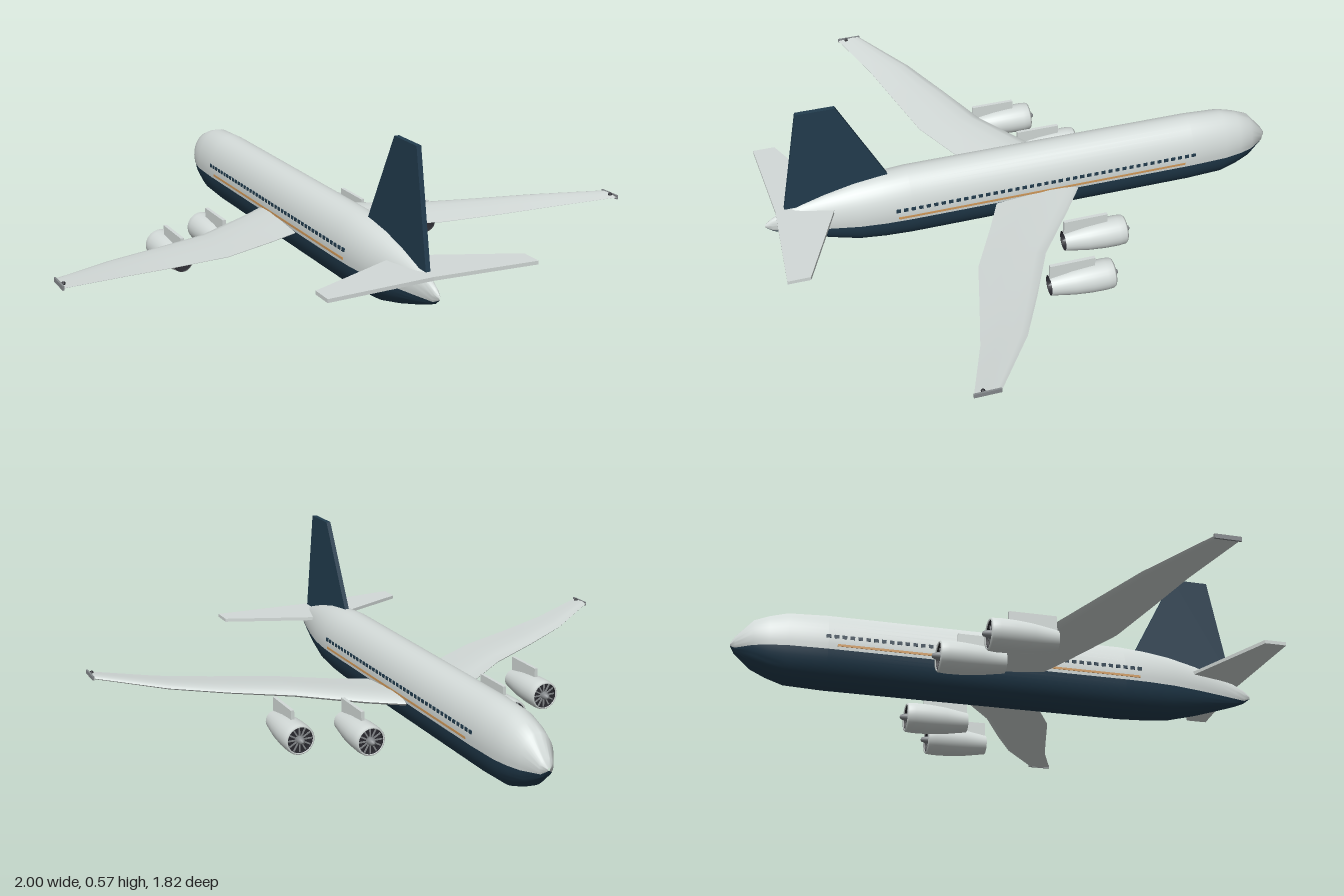
import * as THREE from 'three';
import { toCreasedNormals } from 'three/addons/utils/BufferGeometryUtils.js';

const material = (name, color, side = THREE.FrontSide) => {
  const m = new THREE.MeshStandardMaterial({ color, side });
  m.name = name;
  return m;
};

// Skin through rings of [x, y, z] points that turn anticlockwise about the direction of travel
function loft(rings, closed, crease = 0.6) {
  const n = rings[0].length, index = [];
  for (let i = 0; i < rings.length - 1; i++) {
    for (let j = 0; j < (closed ? n : n - 1); j++) {
      const k = (j + 1) % n, a = i * n + j, b = i * n + k;
      index.push(a, b, b + n, a, b + n, a + n);
    }
  }
  if (closed) {
    const last = (rings.length - 1) * n;
    for (let j = 1; j < n - 1; j++) index.push(0, j + 1, j, last, last + j, last + j + 1);
  }
  const g = new THREE.BufferGeometry();
  g.setAttribute('position', new THREE.Float32BufferAttribute(rings.flat(2), 3));
  g.setIndex(index);
  return toCreasedNormals(g, crease);
}

// Wing from stations [x, leading z, trailing z, y, thickness] and a profile of [chord, height]
function wing(stations, profile, side) {
  const rings = stations.map(([x, z0, z1, y, t]) => {
    const ring = profile.map(([u, v]) => [side * x, y + v * t, z0 + u * (z1 - z0)]);
    return side > 0 ? ring : ring.reverse();
  });
  return loft(rings, true);
}

export function createModel() {
  const plane = new THREE.Group();
  plane.name = 'airliner';
  const light = material('light grey paint', 0xd3dad8);
  const navy = material('navy paint', 0x223c4e);
  const orange = material('orange trim', 0xd09a5c);
  const dark = material('dark interior', 0x2a2a30, THREE.DoubleSide);
  const metal = material('engine metal', 0x85898c);

  const add = (name, geometry, mat, parent = plane, x = 0, y = 0, z = 0) => {
    const mesh = new THREE.Mesh(geometry, mat);
    mesh.name = name;
    mesh.position.set(x, y, z);
    parent.add(mesh);
    return mesh;
  };

  // Fuselage stations: z, bottom y, top y, half width
  const body = [
    [-0.91, 0.135, 0.145, 0.004], [-0.895, 0.11, 0.17, 0.025], [-0.84, 0.063, 0.232, 0.06],
    [-0.79, 0.04, 0.252, 0.075], [-0.73, 0.02, 0.269, 0.085], [-0.6, 0.015, 0.275, 0.09],
    [0.42, 0.015, 0.275, 0.09], [0.51, 0.019, 0.268, 0.087], [0.6, 0.027, 0.256, 0.078],
    [0.7, 0.052, 0.233, 0.058], [0.79, 0.08, 0.206, 0.036], [0.85, 0.1, 0.182, 0.02],
    [0.885, 0.115, 0.165, 0.012], [0.91, 0.135, 0.145, 0.002],
  ];
  const paintLine = 0.122, arcSteps = 24;
  const shell = (upper) => loft(body.map(([z, y0, y1, w]) => {
    const cy = (y0 + y1) / 2, h = (y1 - y0) / 2;
    const start = Math.asin(THREE.MathUtils.clamp((paintLine - cy) / h, -1, 1));
    const from = upper ? start : Math.PI - start;
    const to = upper ? Math.PI - start : Math.PI * 2 + start;
    return Array.from({ length: arcSteps + 1 }, (_, i) => {
      const a = from + (to - from) * i / arcSteps;
      return [w * Math.cos(a), cy + h * Math.sin(a), z];
    });
  }), false, 0.9);
  add('upperFuselage', shell(true), light);
  add('lowerFuselage', shell(false), navy);

  // Tail fin
  const fin = new THREE.Shape([[0.48, 0.2], [0.485, 0.27], [0.64, 0.57], [0.77, 0.57], [0.84, 0.2]]
    .map(([z, y]) => new THREE.Vector2(z, y)));
  const finGeometry = new THREE.ExtrudeGeometry(fin, { depth: 0.016, bevelEnabled: false });
  finGeometry.translate(0, 0, -0.008).rotateY(-Math.PI / 2);
  add('tailFin', finGeometry, navy);

  const airfoil = [[0, 0], [0.04, 0.25], [0.15, 0.45], [0.35, 0.5], [0.65, 0.3], [1, 0.03],
    [1, -0.03], [0.65, -0.3], [0.35, -0.45], [0.12, -0.4], [0.03, -0.22]];
  const slab = [[0, -0.5], [0, 0.5], [1, 0.5], [1, -0.5]];
  const wingStations = [
    [0.03, -0.21, 0.1, 0.118, 0.036], [0.2, -0.092, 0.18, 0.12, 0.033], [0.4, 0.05, 0.28, 0.131, 0.028],
    [0.6, 0.142, 0.332, 0.145, 0.023], [0.78, 0.23, 0.38, 0.161, 0.018], [0.997, 0.375, 0.46, 0.187, 0.012],
  ];
  const tailStations = [[0, 0.658, 0.87, 0.188, 0.012], [0.36, 0.815, 0.89, 0.188, 0.012]];

  // Engine shapes run from the intake at z = 0 back to the nozzle
  const lathe = (points) => new THREE.LatheGeometry(points.map(p => new THREE.Vector2(...p)), 28)
    .rotateX(Math.PI / 2);
  const cowl = lathe([[0.044, 0.004], [0.047, 0], [0.051, 0.006], [0.053, 0.03], [0.052, 0.08],
    [0.047, 0.14], [0.034, 0.22]]);
  const duct = lathe([[0.034, 0.22], [0.03, 0.218], [0.038, 0.14], [0.044, 0.06], [0.044, 0.004]]);
  const spinner = lathe([[0, -0.02], [0.008, -0.016], [0.013, 0], [0.013, 0.02]]);
  const exhaust = lathe([[0.02, 0.17], [0.017, 0.195], [0, 0.225]]);

  const engine = (x, z) => {
    const g = new THREE.Group();
    g.name = 'engine';
    g.position.set(x, 0.053, z);
    plane.add(g);
    add('cowling', cowl, light, g);
    add('duct', duct, dark, g);
    add('fanDisc', new THREE.CircleGeometry(0.044, 28), dark, g, 0, 0, 0.016);
    add('nozzleDisc', new THREE.CircleGeometry(0.034, 28), dark, g, 0, 0, 0.18);
    add('spinner', spinner, metal, g);
    add('exhaustCone', exhaust, metal, g);
    for (let i = 0; i < 12; i++) {
      const blade = new THREE.BoxGeometry(0.005, 0.032, 0.003).translate(0, 0.027, 0.011);
      add('fanBlade', blade.rotateZ(i * Math.PI / 6), metal, g);
    }
    add('pylon', new THREE.BoxGeometry(0.012, 0.055, 0.155), light, g, 0, 0.056, 0.142);
  };

  for (const side of [1, -1]) {
    add('wing', wing(wingStations, airfoil, side), light);
    add('wingTip', new THREE.BoxGeometry(0.006, 0.014, 0.085), metal, plane, side * 0.997, 0.187, 0.4175);
    add('tipLamp', new THREE.SphereGeometry(0.007, 10, 8), dark, plane, side * 0.988, 0.19, 0.43);
    add('tailplane', wing(tailStations, slab, side), light);
    engine(side * 0.27, -0.275);
    engine(side * 0.47, -0.16);
    // Cabin windows and trim stripe
    for (let i = 0; i < 42; i++) {
      const z = -0.6 + i * 1.07 / 41;
      add('window', new THREE.BoxGeometry(0.008, 0.012, 0.015), navy, plane, side * 0.0868, 0.167, z);
    }
    add('trimStripe', new THREE.BoxGeometry(0.008, 0.008, 1.04), orange, plane, side * 0.0872, 0.137, -0.05);
  }
  return plane;
}
